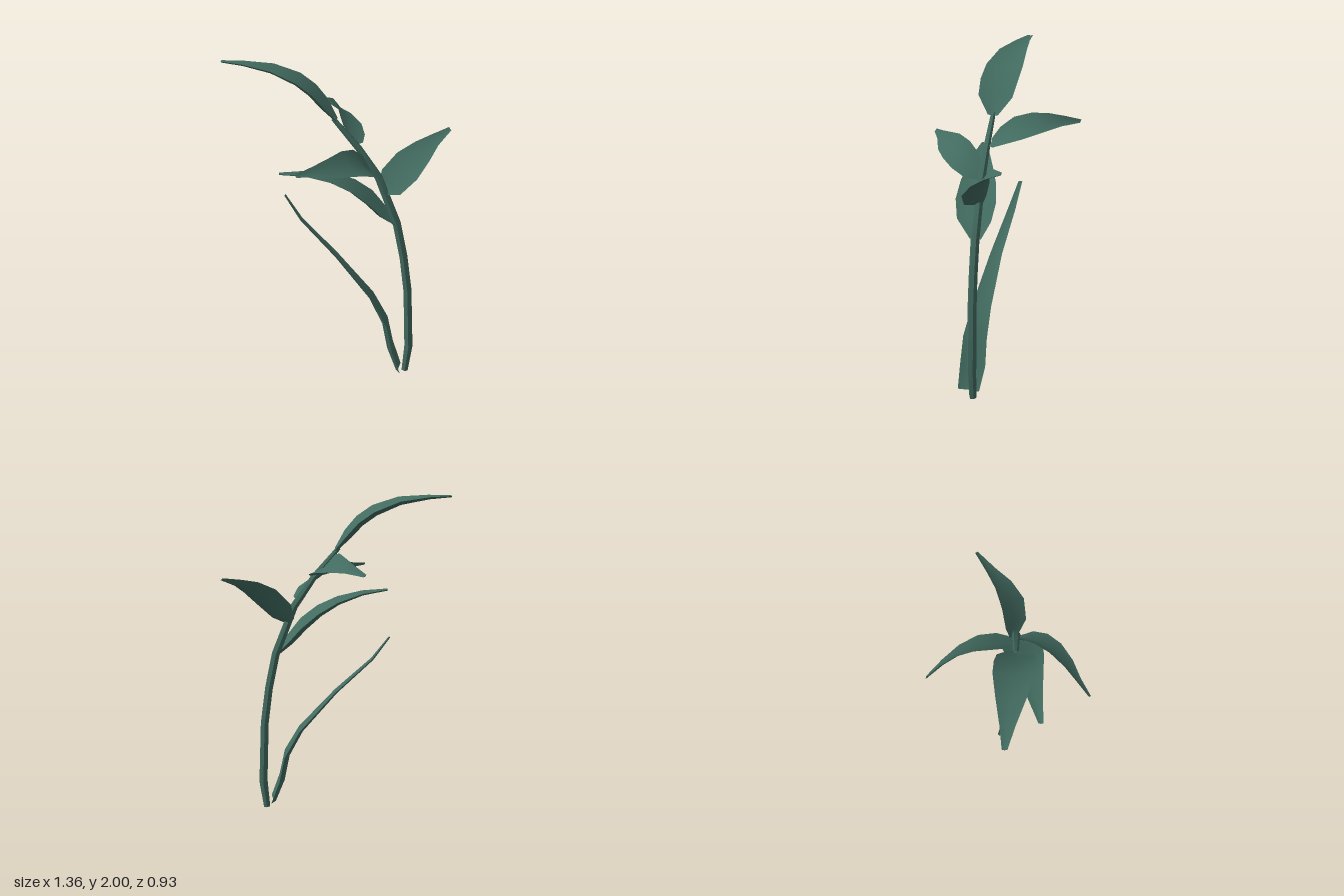
import * as THREE from 'three';
import { toCreasedNormals } from 'three/addons/utils/BufferGeometryUtils.js';

const green = new THREE.MeshStandardMaterial({ color: 0x426b60 });
const V = (x, y, z) => new THREE.Vector3(x, y, z);

// Closed skin over a list of equal rings, each counterclockwise about the path
function loft(name, rings, crease) {
  const n = rings[0].length, last = (rings.length - 1) * n, index = [];
  for (let r = 0; r < rings.length - 1; r++) {
    for (let i = 0; i < n; i++) {
      const a = r * n + i, b = r * n + (i + 1) % n;
      index.push(a, b, b + n, a, b + n, a + n);
    }
  }
  for (let i = 2; i < n; i++) {
    const p = i, q = (i + 1) % n;
    index.push(1, q, p, last + 1, last + p, last + q);
  }
  const geo = new THREE.BufferGeometry().setFromPoints(rings.flat());
  geo.setIndex(index);
  const mesh = new THREE.Mesh(toCreasedNormals(geo, crease), green);
  mesh.name = name;
  return mesh;
}

// Direction of the path at each point
function tangents(points) {
  return points.map((p, i) => points[Math.min(i + 1, points.length - 1)].clone()
    .sub(points[Math.max(i - 1, 0)]).normalize());
}

// Folded blade: rows are x, y, z, half width; side runs across the blade
function leaf(name, side, rows) {
  const s = V(...side).normalize();
  const points = rows.map(([x, y, z]) => V(x, y, z));
  const tan = tangents(points);
  const rings = points.map((p, i) => {
    const w = rows[i][3];
    const up = tan[i].clone().cross(s).normalize();
    const at = (across, lift) => p.clone().addScaledVector(s, across * w).addScaledVector(up, lift);
    return [at(1, 0.12 * w), at(0, -0.1 * w), at(-1, 0.12 * w), at(0, -0.26 * w - 0.004)];
  });
  return loft(name, rings, 0.9);
}

// Six-sided tapering stem: rows are x, y, radius
function stem(rows) {
  const points = rows.map(([x, y]) => V(x, y, 0.035));
  const tan = tangents(points);
  const s = V(0, 0, 1);
  const rings = points.map((p, i) => {
    const up = tan[i].clone().cross(s);
    return Array.from({ length: 6 }, (_, k) => {
      const a = k * Math.PI / 3, r = rows[i][2];
      return p.clone().addScaledVector(s, Math.cos(a) * r).addScaledVector(up, Math.sin(a) * r);
    });
  });
  return loft('stem', rings, 0.6);
}

export function createModel() {
  const plant = new THREE.Group();
  plant.name = 'plant';
  plant.add(
    stem([
      [0.435, 0.005, 0.022], [0.455, 0.18, 0.029], [0.44, 0.57, 0.028], [0.41, 0.8, 0.027],
      [0.365, 1.02, 0.027], [0.25, 1.32, 0.025], [0.13, 1.5, 0.021], [-0.02, 1.68, 0.014],
    ]),
    leaf('topLeaf', [0, 0, 1], [
      [0.0, 1.67, 0.032, 0.032], [-0.07, 1.76, 0.035, 0.105], [-0.14, 1.84, 0.032, 0.115],
      [-0.23, 1.905, 0.025, 0.113], [-0.38, 1.965, 0.015, 0.085], [-0.55, 1.99, -0.002, 0.042],
      [-0.68, 1.997, -0.015, 0.015],
    ]),
    leaf('middleLeaf', [0, 0, 1], [
      [0.36, 1.02, 0.035, 0.035], [0.28, 1.1, 0.065, 0.105], [0.2, 1.19, 0.077, 0.125],
      [0.1, 1.27, 0.092, 0.11], [-0.02, 1.33, 0.118, 0.08], [-0.17, 1.37, 0.15, 0.045],
      [-0.327, 1.383, 0.185, 0.015],
    ]),
    leaf('leftLeaf', [-0.58, 0.56, -0.6], [
      [0.275, 1.23, 0.02, 0.04], [0.33, 1.285, 0.025, 0.1], [0.42, 1.38, 0.005, 0.107],
      [0.505, 1.455, -0.05, 0.077], [0.575, 1.505, -0.12, 0.042], [0.668, 1.552, -0.205, 0.013],
    ]),
    leaf('frontLeaf', [0.6, -0.68, 0.38], [
      [0.21, 1.36, 0.045, 0.03], [0.195, 1.41, 0.105, 0.083], [0.155, 1.455, 0.18, 0.098],
      [0.09, 1.48, 0.258, 0.09], [0.0, 1.48, 0.335, 0.065], [-0.1, 1.483, 0.395, 0.032],
      [-0.195, 1.48, 0.46, 0.011],
    ]),
    leaf('backLeaf', [-0.77, 0.62, -0.1], [
      [0.1, 1.535, 0.015, 0.03], [0.09, 1.56, -0.02, 0.075], [0.075, 1.6, -0.09, 0.1],
      [0.05, 1.63, -0.19, 0.097], [0.0, 1.645, -0.29, 0.07], [-0.07, 1.645, -0.38, 0.037],
      [-0.15, 1.63, -0.465, 0.012],
    ]),
    leaf('baseLeaf', [0, 0, 1], [
      [0.4, 0.03, 0.072, 0.068], [0.345, 0.18, 0.06, 0.08], [0.31, 0.35, 0.055, 0.075],
      [0.22, 0.52, 0.04, 0.06], [0.0, 0.78, 0.012, 0.037], [-0.22, 1.0, -0.025, 0.024],
      [-0.323, 1.15, -0.052, 0.012],
    ]),
  );
  return plant;
}
